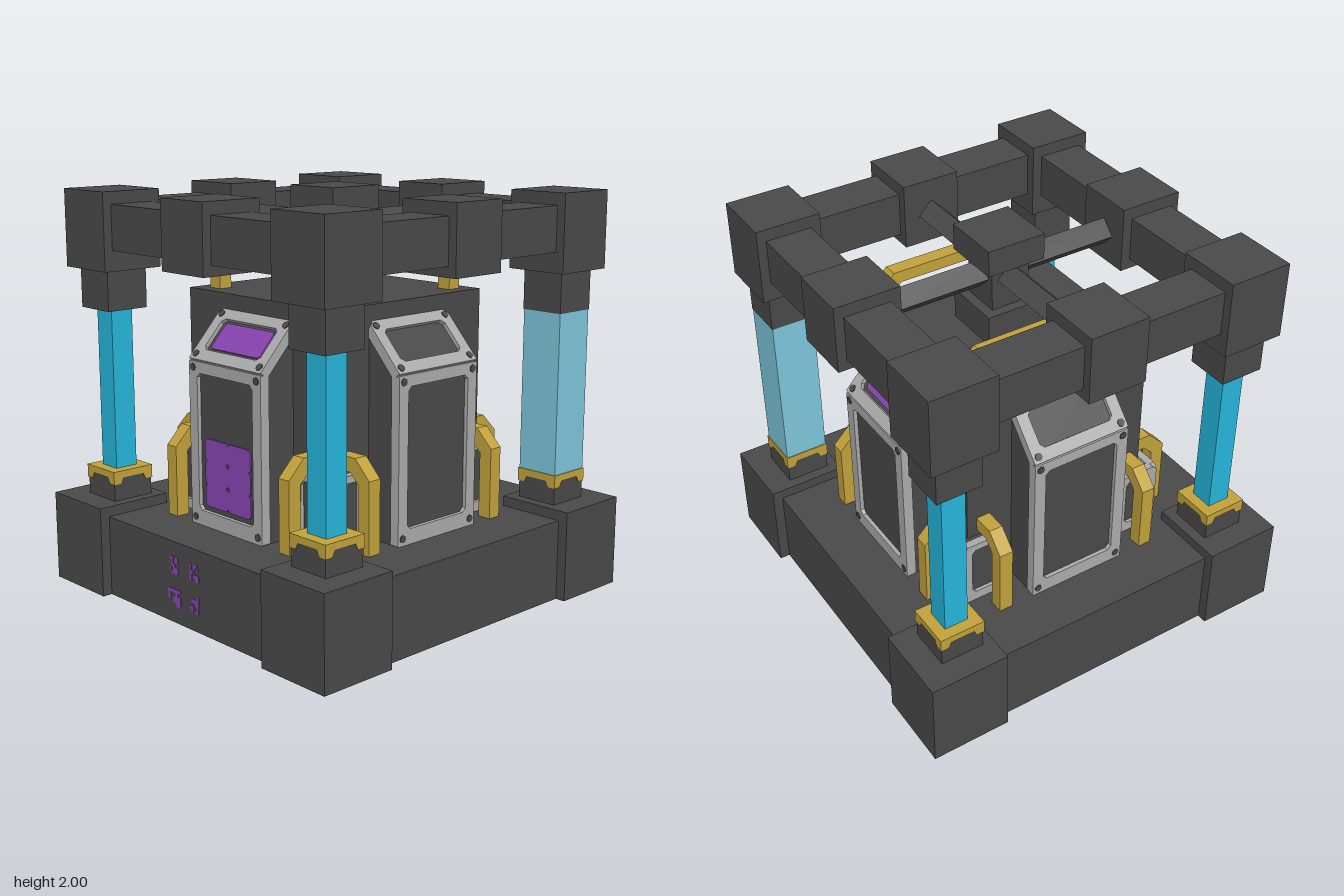
import * as THREE from 'three';

const mat = (name, color) => {
  const m = new THREE.MeshStandardMaterial({ color });
  m.name = name;
  return m;
};

export function createModel() {
  const root = new THREE.Group();
  root.name = 'reactorMachine';
  const dark = mat('charcoal', 0x494949), grey = mat('panelGrey', 0xababab);
  const gold = mat('pipeGold', 0xc2a23c), cyan = mat('cyan', 0x25b6da);
  const pale = mat('paleCyan', 0x7dc6da), purple = mat('purple', 0x8845b2);

  const add = (parent, name, geo, material, x = 0, y = 0, z = 0) => {
    const m = new THREE.Mesh(geo, material);
    m.name = name;
    m.position.set(x, y, z);
    parent.add(m);
    return m;
  };
  // box given by centre x/z, bottom and top
  const box = (parent, name, material, x, z, y0, y1, w, d = w) =>
    add(parent, name, new THREE.BoxGeometry(w, y1 - y0, d), material, x, (y0 + y1) / 2, z);

  // rectangle outline with cut corners: b at the bottom, t at the top
  const cutRect = (T, x0, y0, x1, y1, b, t = b) => new T([
    [x0 + b, y0], [x1 - b, y0], [x1, y0 + b], [x1, y1 - t],
    [x1 - t, y1], [x0 + t, y1], [x0, y1 - t], [x0, y0 + b],
  ].map(p => new THREE.Vector2(...p)));
  const extrude = (shape, depth) =>
    new THREE.ExtrudeGeometry(shape, { depth, bevelEnabled: false, curveSegments: 6 });
  // side profile (z, y) extruded across x, centred
  const acrossX = (pts, width) => {
    const g = extrude(new THREE.Shape(pts.map(p => new THREE.Vector2(...p))), width);
    g.translate(0, 0, -width / 2);
    return g.rotateY(-Math.PI / 2);
  };
  // frame plate with a hole, its outer face on z = 0
  const frame = (w, y0, y1, hw, h0, h1, depth, top) => {
    const s = cutRect(THREE.Shape, -w, y0, w, y1, 0.004, top);
    s.holes.push(cutRect(THREE.Path, -hw, h0, hw, h1, 0.02));
    return extrude(s, depth).translate(0, 0, -depth);
  };
  const bolt = (parent, x, y) => {
    const g = new THREE.CylinderGeometry(0.019, 0.019, 0.006, 8).rotateX(Math.PI / 2);
    add(parent, 'bolt', g, dark, x, y, 0.001);
  };

  // base and central body
  box(root, 'baseSlab', dark, 0, 0, 0, 0.4, 1.9);
  box(root, 'body', dark, 0, 0, 0.4, 1.5, 1);

  // corner posts
  for (const sx of [-1, 1]) for (const sz of [-1, 1]) {
    const x = sx * 0.765, z = sz * 0.765;
    const wide = sx > 0 && sz < 0;
    box(root, 'baseCorner', dark, sx * 0.8, sz * 0.8, 0, 0.45, 0.4);
    box(root, 'postFoot', dark, x, z, 0.45, 0.596, 0.22);
    box(root, 'postFootTop', gold, x, z, 0.592, 0.6, 0.23);
    const trim = new THREE.Shape([
      [-0.115, 0.535], [-0.075, 0.535], [-0.06, 0.565], [0.06, 0.565],
      [0.075, 0.535], [0.115, 0.535], [0.115, 0.6], [-0.115, 0.6],
    ].map(p => new THREE.Vector2(...p)));
    for (let k = 0; k < 4; k++) {
      const g = extrude(trim, 0.005).translate(0, 0, 0.11).rotateY(k * Math.PI / 2);
      add(root, 'postFootTrim', g, gold, x, 0, z);
    }
    box(root, 'energyColumn', wide ? pale : cyan, x, z, 0.6, 1.4, wide ? 0.22 : 0.12);
    box(root, 'postHead', dark, x, z, 1.4, 1.6, 0.225);
    box(root, 'topCorner', dark, sx * 0.7625, sz * 0.7625, 1.6, 1.98, 0.325);
    box(root, 'cornerCasing', dark, sx * 0.445, sz * 0.445, 0.4, 0.735, 0.215);
  }

  // top hub
  box(root, 'hubCap', dark, 0, 0, 1.87, 2, 0.3);
  box(root, 'hubNeck', dark, 0, 0, 1.65, 1.87, 0.2);
  box(root, 'hubFoot', dark, 0, 0, 1.5, 1.65, 0.3);

  // pipes over the body
  const overPipe = [
    [0.43, 1.49], [0.43, 1.63], [0.36, 1.7], [-0.36, 1.7], [-0.43, 1.63], [-0.43, 1.49],
    [-0.36, 1.49], [-0.36, 1.6], [-0.32, 1.64], [0.32, 1.64], [0.36, 1.6], [0.36, 1.49],
  ];
  for (const s of [-1, 1]) add(root, 'topPipe', acrossX(overPipe, 0.075), gold, s * 0.39);

  // panel housing, inset by o from the outer panel surface
  const housing = (o, width) => acrossX([
    [0.4, 0.4], [0.7 - o, 0.4], [0.7 - o, 1.21 - 0.4 * o],
    [0.5 - 0.732 * o, 1.425 - 0.681 * o], [0.4, 1.425 - 0.681 * o],
  ], width);
  const sidePipe = [
    [0.48, 0.84], [0.48, 0.77], [0.58, 0.77], [0.63, 0.72],
    [0.63, 0.39], [0.7, 0.39], [0.7, 0.75], [0.61, 0.84],
  ];

  // four sides: front, left, back, right
  for (let k = 0; k < 4; k++) {
    const side = new THREE.Group();
    side.name = ['frontSide', 'leftSide', 'backSide', 'rightSide'][k];
    side.rotation.y = k * Math.PI / 2;
    root.add(side);

    // overhead frame
    for (const s of [-1, 1])
      box(side, 'topBeam', dark, s * 0.375, 0.765, 1.7, 1.92, 0.46, 0.23);
    box(side, 'beamJoint', dark, 0, 0.7625, 1.65, 1.98, 0.3, 0.325);
    const arm = new THREE.BoxGeometry(0.1, 0.1, 0.54).rotateZ(Math.PI / 4);
    add(side, 'hubArm', arm, dark, 0, 1.8, 0.35);

    // panel housing and frames
    add(side, 'panelHousing', housing(0.05, 0.51), dark);
    add(side, 'panelFloor', housing(0.02, 0.42), dark);
    const lower = new THREE.Group();
    lower.name = 'lowerPanel';
    lower.position.z = 0.7;
    side.add(lower);
    add(lower, 'lowerFrame', frame(0.26, 0.4, 1.2, 0.2, 0.475, 1.145, 0.05, 0.004), grey);
    const upper = new THREE.Group();
    upper.name = 'upperPanel';
    upper.position.set(0, 1.21, 0.7);
    upper.rotation.x = -Math.atan2(0.2, 0.215);
    side.add(upper);
    add(upper, 'upperFrame', frame(0.26, 0, 0.294, 0.2, 0.06, 0.24, 0.05, 0.025), grey);
    for (const s of [-1, 1]) {
      bolt(lower, s * 0.23, 0.435);
      bolt(lower, s * 0.23, 1.17);
      bolt(upper, s * 0.23, 0.03);
      bolt(upper, s * 0.23, 0.265);
    }

    // glowing windows
    if (k % 2 === 0) {
      const win = cutRect(THREE.Shape, -0.175, 0.078, 0.175, 0.225, 0.012);
      add(upper, 'upperScreen', extrude(win, 0.008), purple, 0, 0, -0.021);
    }
    if (k === 0) {
      for (const cx of [-0.083, 0.083]) for (let r = 0; r < 3; r++) {
        const y = 0.5 + r * 0.111;
        const cell = cutRect(THREE.Shape, cx - 0.083, y, cx + 0.083, y + 0.111, 0.014);
        add(lower, 'screenCell', extrude(cell, 0.008), purple, 0, 0, -0.021);
      }
    }

    // corner casing frames and bent pipes
    for (const s of [-1, 1]) {
      add(side, 'casingFrame', frame(0.117, 0.4, 0.75, 0.068, 0.45, 0.715, 0.04, 0.025),
        grey, s * 0.45, 0, 0.57);
      add(side, 'sidePipe', acrossX(sidePipe, 0.07), gold, s * 0.413);
    }
  }

  // worn paint flecks on the front of the base
  let seed = 7;
  const rnd = () => (seed = (seed * 16807) % 2147483647) / 2147483647;
  for (const [cx, cy, w] of [[-0.078, 0.285, 0.06], [0.073, 0.285, 0.065], [-0.08, 0.125, 0.095], [0.07, 0.13, 0.065]])
    for (let i = 0; i < 5; i++) for (let j = 0; j < 5; j++) {
      if (rnd() < 0.42) continue;
      const g = new THREE.BoxGeometry(w / 5, 0.017, 0.004);
      add(root, 'paintFleck', g, purple, cx + (i - 2) * w / 5, cy + (j - 2) * 0.017, 0.951);
    }
  return root;
}
